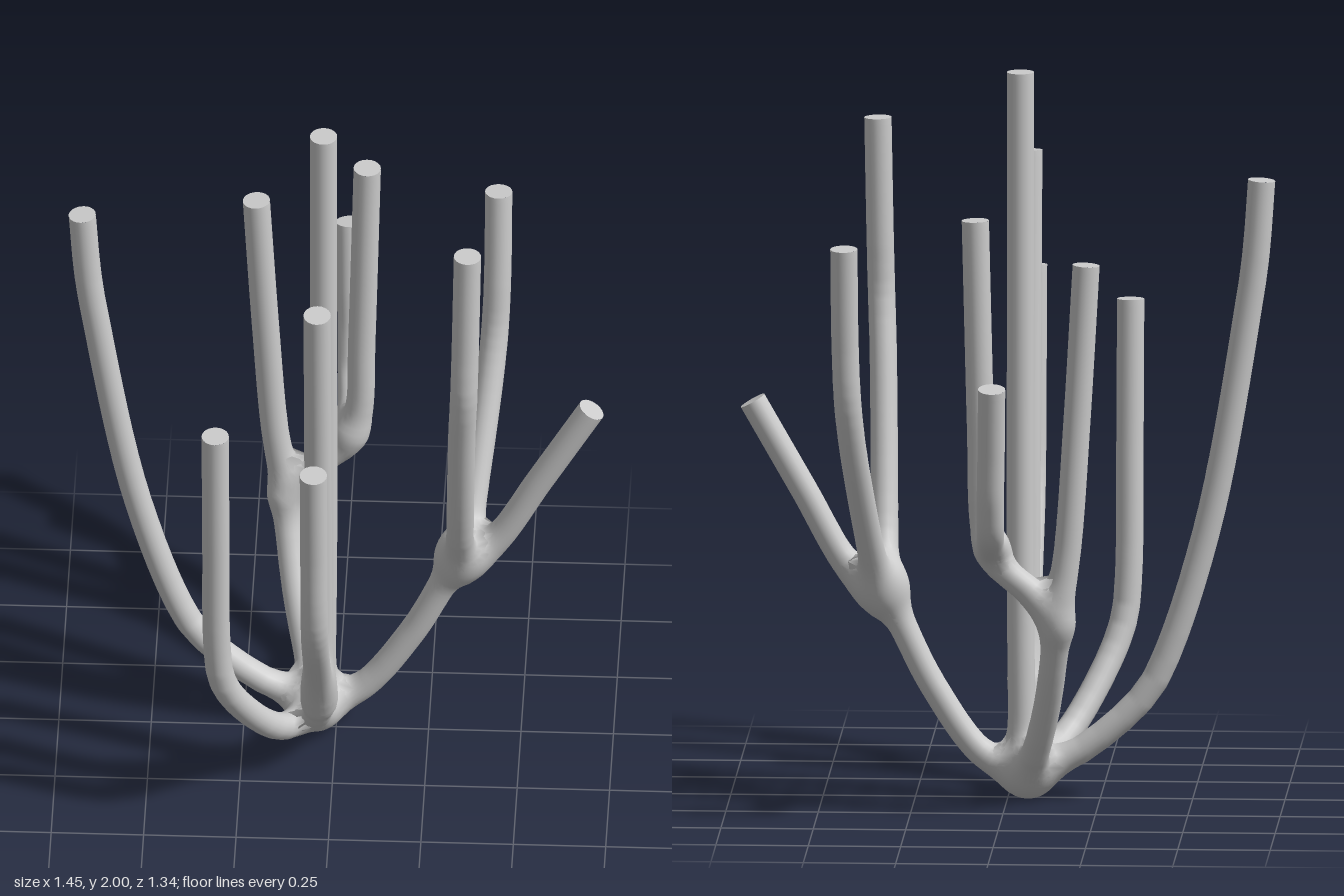
import * as THREE from 'three';

const R = 0.037;      // branch radius
const BLEND = 0.02;   // softness of the fillets at the forks
const V = (p) => new THREE.Vector3(...p);

// Centre lines, each from its fork to its tip
const PATHS = {
  centreStem: [[-0.04, 0.08, -0.02], [-0.035, 0.6, -0.022], [-0.035, 1.3, -0.022], [-0.035, 2, -0.022]],
  rightBranch: [[-0.07, 0.08, -0.025], [-0.2, 0.14, -0.025], [-0.37, 0.29, -0.025], [-0.43, 0.4, -0.025],
    [-0.55, 0.79, -0.025], [-0.655, 1.38, -0.025], [-0.672, 1.5, -0.025], [-0.688, 1.71, -0.025]],
  frontRightBranch: [[-0.06, 0.08, 0.02], [-0.14, 0.13, 0.17], [-0.245, 0.3, 0.3], [-0.295, 0.43, 0.355],
    [-0.307, 0.56, 0.37], [-0.309, 0.9, 0.39], [-0.31, 1.3, 0.41]],
  frontStem: [[-0.05, 0.08, 0.02], [-0.045, 0.15, 0.14], [-0.037, 0.25, 0.225], [-0.035, 0.38, 0.262],
    [-0.035, 0.85, 0.308], [-0.035, 1.4, 0.365], [-0.035, 1.71, 0.395]],
  frontBranch: [[-0.036, 0.28, 0.235], [-0.035, 0.45, 0.355], [-0.035, 0.69, 0.53], [-0.035, 0.8, 0.577],
    [-0.035, 1.05, 0.607], [-0.035, 1.35, 0.637]],
  backStem: [[-0.05, 0.08, -0.03], [-0.075, 0.13, -0.11], [-0.115, 0.28, -0.21], [-0.14, 0.44, -0.295],
    [-0.153, 0.56, -0.335], [-0.18, 0.75, -0.34], [-0.205, 1.1, -0.34], [-0.23, 1.53, -0.34]],
  backLeftBranch: [[-0.15, 0.54, -0.33], [-0.07, 0.635, -0.34], [0.015, 0.715, -0.34], [0.047, 0.82, -0.34],
    [0.055, 1.05, -0.34], [0.07, 1.65, -0.34]],
  rearBranch: [[0.02, 0.75, -0.34], [0.025, 0.775, -0.43], [0.02, 0.82, -0.51], [0.018, 0.91, -0.555],
    [0.014, 1.05, -0.59], [0.01, 1.24, -0.633]],
  leftStem: [[-0.05, 0.08, -0.022], [0.06, 0.12, -0.022], [0.2, 0.31, -0.022], [0.285, 0.48, -0.022], [0.34, 0.6, -0.022]],
  leftBranch: [[0.34, 0.55, -0.022], [0.43, 0.635, -0.022], [0.55, 0.845, -0.022], [0.69, 1.09, -0.022]],
  leftFrontBranch: [[0.335, 0.59, -0.01], [0.338, 0.72, 0.075], [0.35, 1.2, 0.225], [0.356, 1.34, 0.257],
    [0.36, 1.5, 0.26], [0.366, 1.82, 0.26]],
  leftBackBranch: [[0.345, 0.58, -0.04], [0.365, 0.7, -0.115], [0.405, 1.0, -0.265], [0.417, 1.14, -0.313],
    [0.423, 1.3, -0.33], [0.425, 1.57, -0.355]],
};
const NODES = {
  baseHub: { centre: V([-0.06, 0.085, -0.01]), radius: 0.06 },
  leftFork: { centre: V([0.34, 0.59, -0.025]), radius: 0.055 },
};

export function createModel() {
  const group = new THREE.Group();
  const material = new THREE.MeshStandardMaterial({ color: 0xcccccc });
  const curves = Object.entries(PATHS).map(([name, pts]) => {
    const curve = new THREE.CatmullRomCurve3(pts.map(V), false, 'centripetal');
    return { name, curve, pts: curve.getSpacedPoints(26) };
  });

  // Distance to a polyline
  function pathDistance(p, pts) {
    let best = Infinity;
    for (let i = 0; i < pts.length - 1; i++) {
      const a = pts[i], b = pts[i + 1];
      const dx = b.x - a.x, dy = b.y - a.y, dz = b.z - a.z;
      const px = p.x - a.x, py = p.y - a.y, pz = p.z - a.z;
      const t = Math.min(1, Math.max(0, (px * dx + py * dy + pz * dz) / (dx * dx + dy * dy + dz * dz)));
      best = Math.min(best, (px - t * dx) ** 2 + (py - t * dy) ** 2 + (pz - t * dz) ** 2);
    }
    return Math.sqrt(best);
  }

  // Soft union of all branches and nodes: negative inside
  function field(p) {
    let sum = 0;
    for (const c of curves) sum += Math.exp((R - pathDistance(p, c.pts)) / BLEND);
    for (const n of Object.values(NODES)) sum += Math.exp((n.radius - p.distanceTo(n.centre)) / BLEND);
    return -BLEND * Math.log(sum);
  }

  // Walk outward from a centre until the blended skin is reached
  function skinPoint(centre, dir, limit) {
    const p = centre.clone();
    for (let t = 0, k = 0; k < 40; k++) {
      const f = field(p);
      if (f > -0.0002) break;
      t = Math.min(limit, t + Math.max(-f, 0.0005));
      p.copy(centre).addScaledVector(dir, t);
      if (t >= limit) break;
    }
    return p;
  }

  function skinNormal(p) {
    const e = 0.003;
    const slope = (x, y, z) => field(p.clone().add(V([x, y, z]))) - field(p.clone().sub(V([x, y, z])));
    return V([slope(e, 0, 0), slope(0, e, 0), slope(0, 0, e)]).normalize();
  }

  function addMesh(name, geometry) {
    const mesh = new THREE.Mesh(geometry, material);
    mesh.name = name;
    group.add(mesh);
    return mesh;
  }

  // Branches: rings swept along the centre line and swollen into the forks
  const SIDES = 20;
  for (const { name, curve } of curves) {
    const rows = Math.max(24, Math.round(curve.getLength() / 0.02));
    const { tangents, normals, binormals } = curve.computeFrenetFrames(rows, false);
    const pos = [], nor = [], index = [];
    for (let i = 0; i <= rows; i++) {
      const centre = curve.getPointAt(i / rows);
      for (let j = 0; j < SIDES; j++) {
        const a = (j / SIDES) * Math.PI * 2;
        const dir = normals[i].clone().multiplyScalar(Math.cos(a)).addScaledVector(binormals[i], Math.sin(a));
        const p = skinPoint(centre, dir, 0.1);
        pos.push(p.x, p.y, p.z);
        nor.push(...skinNormal(p).toArray());
        if (i === rows) continue;
        const q = i * SIDES + j, r = i * SIDES + (j + 1) % SIDES;
        index.push(q, r, q + SIDES, r, r + SIDES, q + SIDES);
      }
    }
    const geometry = new THREE.BufferGeometry();
    geometry.setAttribute('position', new THREE.Float32BufferAttribute(pos, 3));
    geometry.setAttribute('normal', new THREE.Float32BufferAttribute(nor, 3));
    geometry.setIndex(index);
    addMesh(name, geometry);

    // Flat cut end
    if (name === 'leftStem') continue;
    const tip = addMesh(name + 'Tip', new THREE.CircleGeometry(R, SIDES));
    tip.position.copy(curve.getPointAt(1));
    tip.quaternion.setFromUnitVectors(V([0, 0, 1]), tangents[rows]);
  }

  // Swollen hubs where several branches meet
  for (const [name, { centre }] of Object.entries(NODES)) {
    const geometry = new THREE.SphereGeometry(1, 40, 28);
    const pos = geometry.attributes.position, nor = geometry.attributes.normal;
    for (let i = 0; i < pos.count; i++) {
      const p = skinPoint(centre, new THREE.Vector3().fromBufferAttribute(pos, i).normalize(), 0.13);
      const n = skinNormal(p);
      pos.setXYZ(i, p.x, p.y, p.z);
      nor.setXYZ(i, n.x, n.y, n.z);
    }
    addMesh(name, geometry);
  }
  return group;
}
